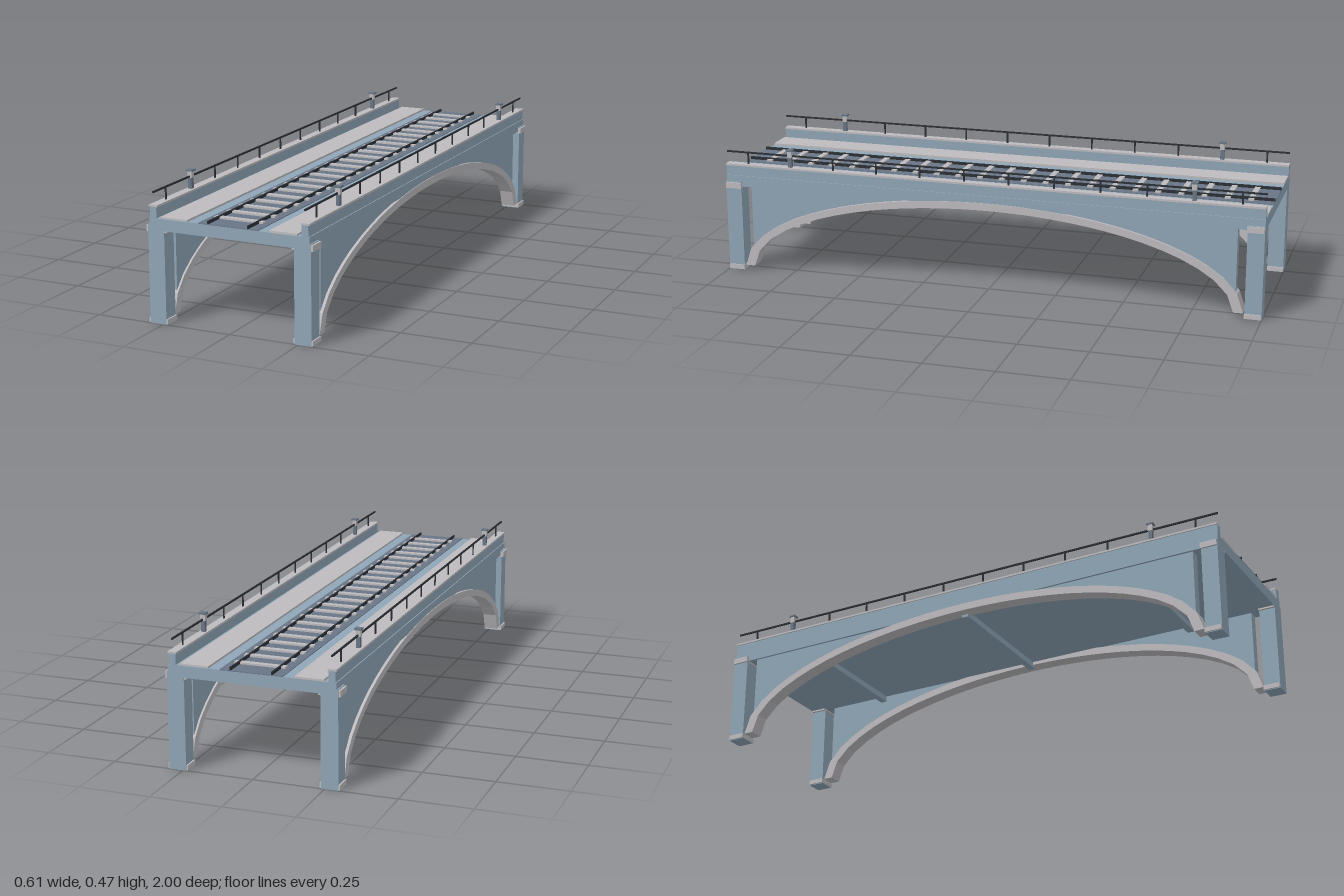
import * as THREE from 'three';
import { mergeGeometries } from 'three/addons/utils/BufferGeometryUtils.js';

export function createModel() {
  const mat = (name, color) => {
    const m = new THREE.MeshStandardMaterial({ color });
    m.name = name;
    return m;
  };
  const blue = mat('blue grey masonry', 0x8fa5b6);
  const pale = mat('pale stone', 0xbdbbbe);
  const slate = mat('slate', 0x697685);
  const iron = mat('dark iron', 0x2c3036);

  const bridge = new THREE.Group();
  bridge.name = 'archRailBridge';

  // Box given by its limits on each axis
  const box = (x0, x1, y0, y1, z0, z1) =>
    new THREE.BoxGeometry(x1 - x0, y1 - y0, z1 - z0)
      .translate((x0 + x1) / 2, (y0 + y1) / 2, (z0 + z1) / 2);
  const add = (name, material, geometries) => {
    const mesh = new THREE.Mesh(mergeGeometries([].concat(geometries)), material);
    mesh.name = name;
    bridge.add(mesh);
  };
  // The same box on both sides of the bridge
  const pair = (x0, x1, y0, y1, z0, z1) =>
    [box(x0, x1, y0, y1, z0, z1), box(-x1, -x0, y0, y1, z0, z1)];
  // The same box at all four corners
  const corners = (x0, x1, y0, y1, z0, z1) =>
    [...pair(x0, x1, y0, y1, z0, z1), ...pair(x0, x1, y0, y1, -z1, -z0)];
  // Outline in (z, y), extruded across x from x0 to x1 and mirrored
  const slabPair = (points, x0, x1) => [x1, -x0].map((x) =>
    new THREE.ExtrudeGeometry(new THREE.Shape(points), { depth: x1 - x0, bevelEnabled: false })
      .rotateY(-Math.PI / 2).translate(x, 0, 0));
  const arc = (a, b, t, n) =>
    new THREE.EllipseCurve(0, 0.015, a, b, t, Math.PI - t).getSpacedPoints(n);

  // Deck and cross beams
  add('deck', blue, box(-0.2925, 0.2925, 0.322, 0.363, -1, 1));
  add('crossBeams', blue, [-0.667, 0, 0.667].map((z) =>
    box(-0.26, 0.26, 0.3, 0.323, z - 0.0125, z + 0.0125)));

  // Corner piers with foot and cap stones
  add('piers', blue, corners(0.2375, 0.298, 0, 0.34, 0.94, 1));
  add('pierFeet', pale, corners(0.232, 0.303, 0.002, 0.019, 0.939, 0.999));
  add('pierCaps', pale, corners(0.229, 0.305, 0.316, 0.337, 0.939, 0.999));

  // Side walls above the arches
  const wall = [...arc(0.92, 0.31, 0.18, 40),
    new THREE.Vector2(-0.905, 0.325), new THREE.Vector2(0.905, 0.325)];
  add('spandrelWalls', blue, slabPair(wall, 0.25, 0.285));

  // Arch rings made of wedge stones
  const count = 29;
  const inner = arc(0.9, 0.295, 0.01, count);
  const outer = arc(0.935, 0.322, 0.01, count);
  const stones = [];
  for (let i = 0; i < count; i++) {
    stones.push(...slabPair([inner[i], outer[i], outer[i + 1], inner[i + 1]], 0.243, 0.295));
  }
  add('archRings', pale, stones);

  // Parapets and coping
  add('parapets', blue, pair(0.265, 0.289, 0.36, 0.401, -1, 1));
  add('copings', pale, pair(0.262, 0.293, 0.4, 0.407, -1, 1));

  // Walkways and track
  add('walkways', pale, pair(0.15, 0.25, 0.362, 0.37, -1, 1));
  add('ballast', slate, box(-0.11, 0.11, 0.362, 0.3655, -1, 1));
  const sleepers = [];
  for (let i = -11; i <= 11; i++) {
    const z = i / 12;
    sleepers.push(box(-0.09, 0.09, 0.365, 0.372, z - 0.01, z + 0.01));
  }
  add('sleepers', pale, sleepers);
  add('trackRails', iron, pair(0.07, 0.075, 0.365, 0.376, -1, 1));

  // Handrails with slim posts, leaving room for the pillars
  add('handrails', iron, pair(0.2745, 0.2795, 0.447, 0.453, -1, 1));
  const posts = [];
  for (let i = 0; i < 12; i++) {
    const z = -11 / 12 + i / 6;
    if (i !== 1 && i !== 10) posts.push(...pair(0.275, 0.279, 0.406, 0.45, z - 0.003, z + 0.003));
  }
  add('handrailPosts', iron, posts);

  // Pillars: shaft, pale head and dark lid
  add('pillarShafts', slate, corners(0.27, 0.284, 0.406, 0.446, 0.743, 0.757));
  add('pillarHeads', pale, corners(0.2685, 0.2855, 0.445, 0.469, 0.7415, 0.7585));
  add('pillarLids', slate, corners(0.265, 0.289, 0.468, 0.474, 0.738, 0.762));

  return bridge;
}
